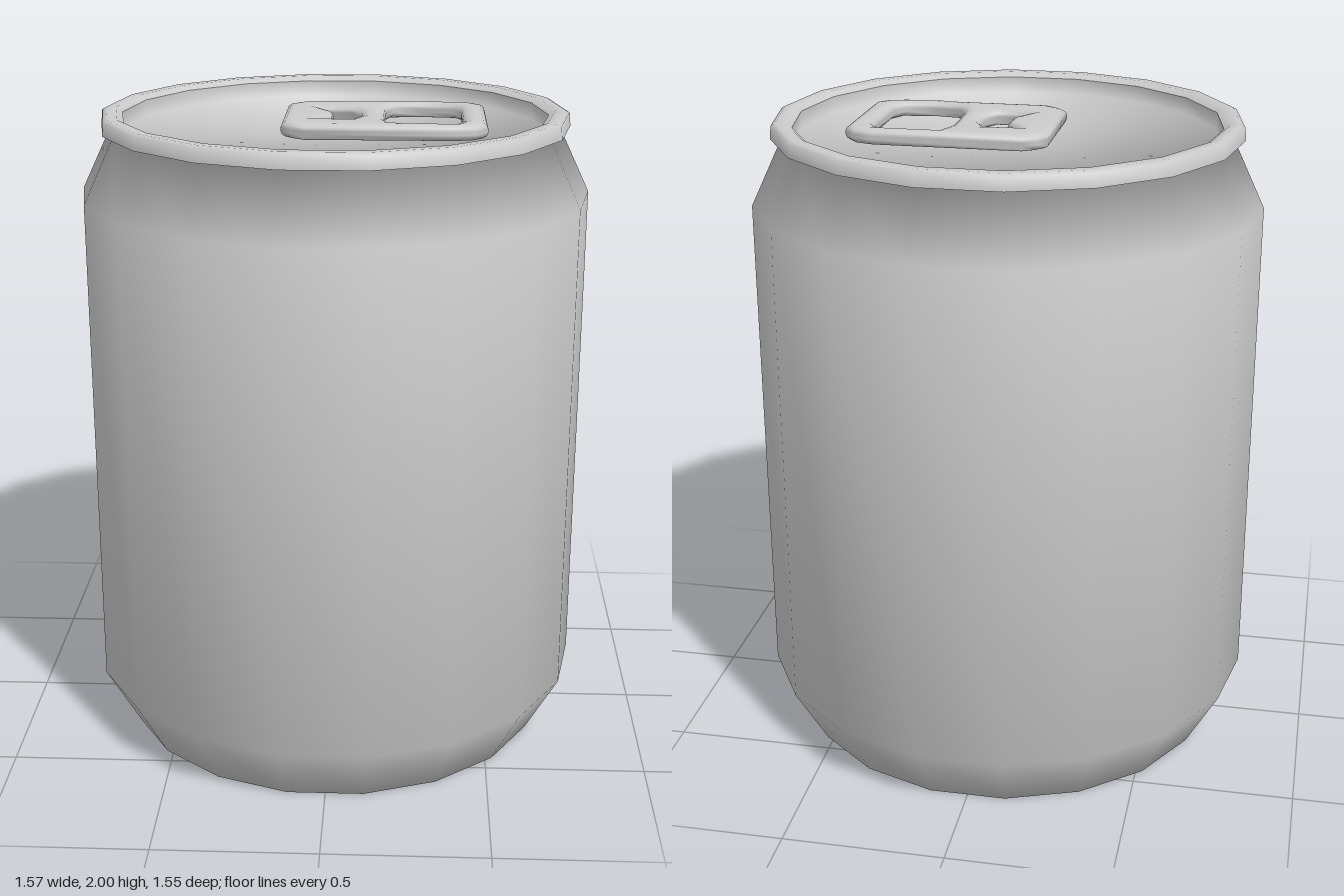
import * as THREE from 'three';
import { toCreasedNormals } from 'three/addons/utils/BufferGeometryUtils.js';

const SIDES = 18;
const vectors = (pairs) => pairs.map(([a, b]) => new THREE.Vector2(a, b));

export function createModel() {
  const group = new THREE.Group();
  const material = new THREE.MeshStandardMaterial({ color: 0xcccccc });

  // Every part is smooth all over, also across its corners
  function add(name, geometry) {
    const mesh = new THREE.Mesh(toCreasedNormals(geometry, Math.PI), material);
    mesh.name = name;
    group.add(mesh);
    return mesh;
  }

  // Turned part with a corner on the x axis
  const turned = (name, profile) =>
    add(name, new THREE.LatheGeometry(vectors(profile), SIDES, Math.PI / 2));

  // Base panel, recessed inside the ring the can stands on
  turned('base', [[0, 0.065], [0.66, 0.065], [0.665, 0]]);

  // Standing ring, tapered foot, straight wall, neck and underside of the rim
  turned('body', [[0.665, 0], [0.68, 0], [0.786, 0.19], [0.786, 1.75], [0.69, 1.95], [0.722, 1.953]]);

  // Rolled rim
  turned('rim', [[0.722, 1.953], [0.718, 1.993], [0.705, 2], [0.675, 2], [0.655, 1.985]]);

  // Sunken lid
  turned('lid', [[0.655, 1.985], [0.655, 1.935], [0, 1.935]]);

  // Pull tab: rounded plate with a finger hole and a notched cutout
  const tabShape = new THREE.Shape(vectors([
    [-0.155, -0.165], [-0.125, -0.2], [-0.085, -0.227], [0.37, -0.227], [0.43, -0.21], [0.465, -0.17],
    [0.465, 0.17], [0.43, 0.21], [0.37, 0.227], [-0.085, 0.227], [-0.125, 0.2], [-0.155, 0.165],
  ]));
  tabShape.holes.push(
    new THREE.Path(vectors([
      [0.155, -0.1], [0.155, 0.1], [0.18, 0.168], [0.26, 0.18], [0.365, 0.168],
      [0.39, 0.12], [0.39, -0.12], [0.365, -0.168], [0.26, -0.18], [0.18, -0.168],
    ])),
    new THREE.Path(vectors([
      [-0.05, -0.1], [-0.005, -0.035], [-0.005, 0.035], [-0.05, 0.1],
      [0.05, 0.1], [0.08, 0.04], [0.08, -0.04], [0.05, -0.1],
    ])),
  );
  const tabGeometry = new THREE.ExtrudeGeometry(tabShape, {
    depth: 0.01, bevelThickness: 0.02, bevelSize: 0.028, bevelOffset: -0.028, bevelSegments: 3,
  });
  tabGeometry.rotateX(-Math.PI / 2);
  add('pullTab', tabGeometry).position.y = 1.96;

  return group;
}
